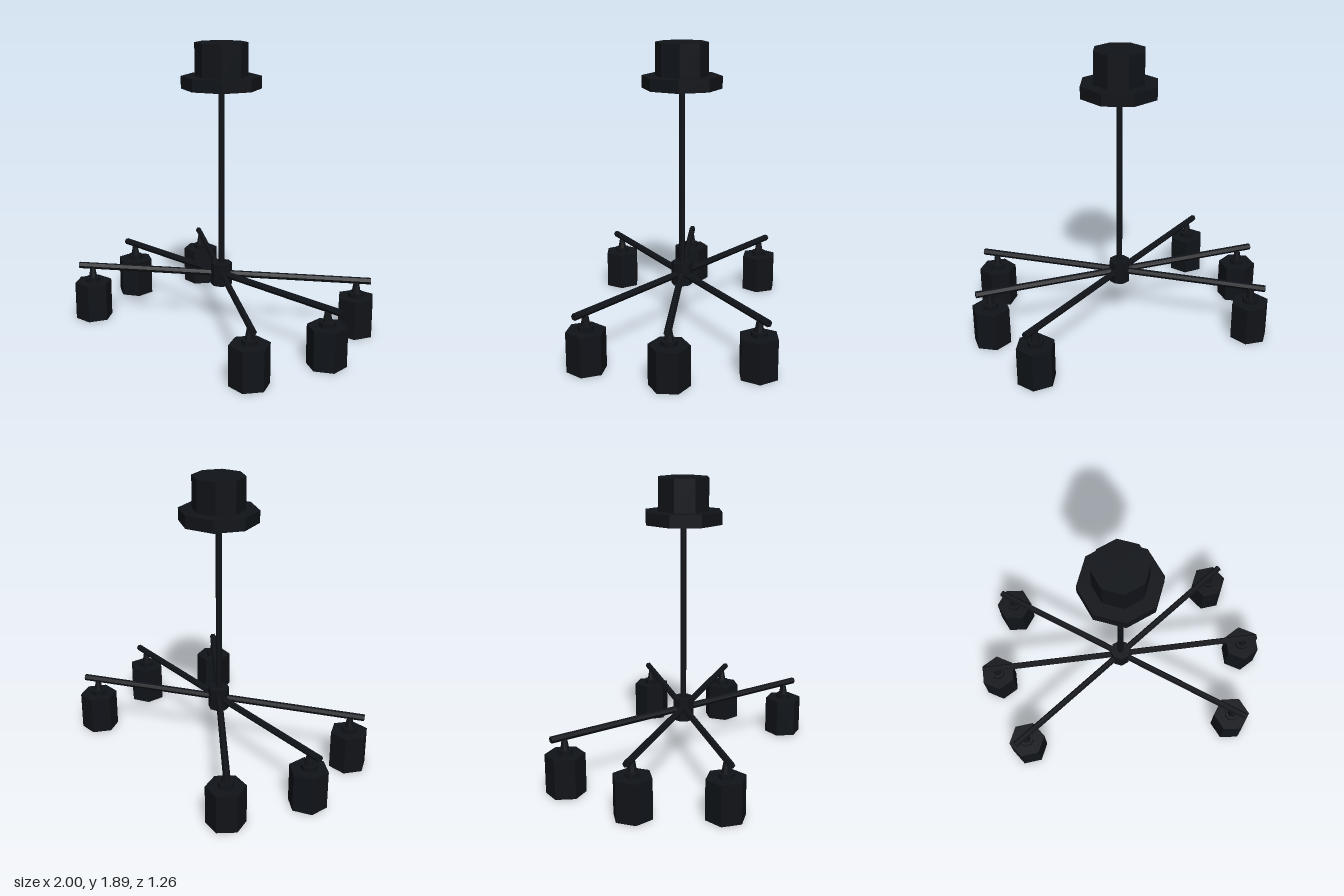
import * as THREE from 'three';

const black = new THREE.MeshStandardMaterial({ color: 0x101318, flatShading: true });
const glow = new THREE.MeshStandardMaterial({ color: 0x55585c, flatShading: true });

// Upright faceted cylinder between two heights
function post(name, rTop, rBottom, y0, y1, sides, material = black) {
  const mesh = new THREE.Mesh(new THREE.CylinderGeometry(rTop, rBottom, y1 - y0, sides), material);
  mesh.position.y = (y0 + y1) / 2;
  mesh.name = name;
  return mesh;
}

// Hexagonal spotlight hanging below its bar, hollow from below
function makeLamp() {
  const lamp = new THREE.Group();
  lamp.name = 'lamp';
  const profile = [[0, 0.16], [0.1, 0.16], [0.1, 0], [0.125, 0], [0.125, 0.255], [0, 0.255]]
    .map(([r, y]) => new THREE.Vector2(r, y));
  const shade = new THREE.Mesh(new THREE.LatheGeometry(profile, 6), black);
  shade.name = 'shade';
  lamp.add(
    shade,
    post('bulb', 0.06, 0.06, 0.08, 0.165, 8, glow),
    post('shadeCap', 0.05, 0.05, 0.25, 0.284, 8),
    post('neck', 0.016, 0.03, 0.28, 0.36, 8),
  );
  return lamp;
}

export function createModel() {
  const model = new THREE.Group();
  model.name = 'ceilingLamp';

  // Ceiling mount, stem and hub
  model.add(
    post('canopyTop', 0.17, 0.17, 1.67, 1.89, 8),
    post('canopyFlange', 0.257, 0.257, 1.6, 1.68, 8),
    post('stem', 0.02, 0.02, 0.4, 1.62, 8),
    post('hub', 0.07, 0.07, 0.29, 0.44, 8),
  );

  // Three crossing bars, each with a lamp near both ends
  for (const degrees of [0, 35.2, -35.2]) {
    const arm = new THREE.Group();
    arm.name = 'arm';
    const geometry = new THREE.CylinderGeometry(0.022, 0.022, 1.97, 6).rotateZ(Math.PI / 2);
    const bar = new THREE.Mesh(geometry, black);
    bar.name = 'bar';
    bar.position.y = 0.365;
    arm.add(bar);
    for (const side of [-1, 1]) {
      const lamp = makeLamp();
      lamp.position.x = side * 0.892;
      arm.add(lamp);
    }
    arm.rotation.y = THREE.MathUtils.degToRad(degrees);
    model.add(arm);
  }
  return model;
}
